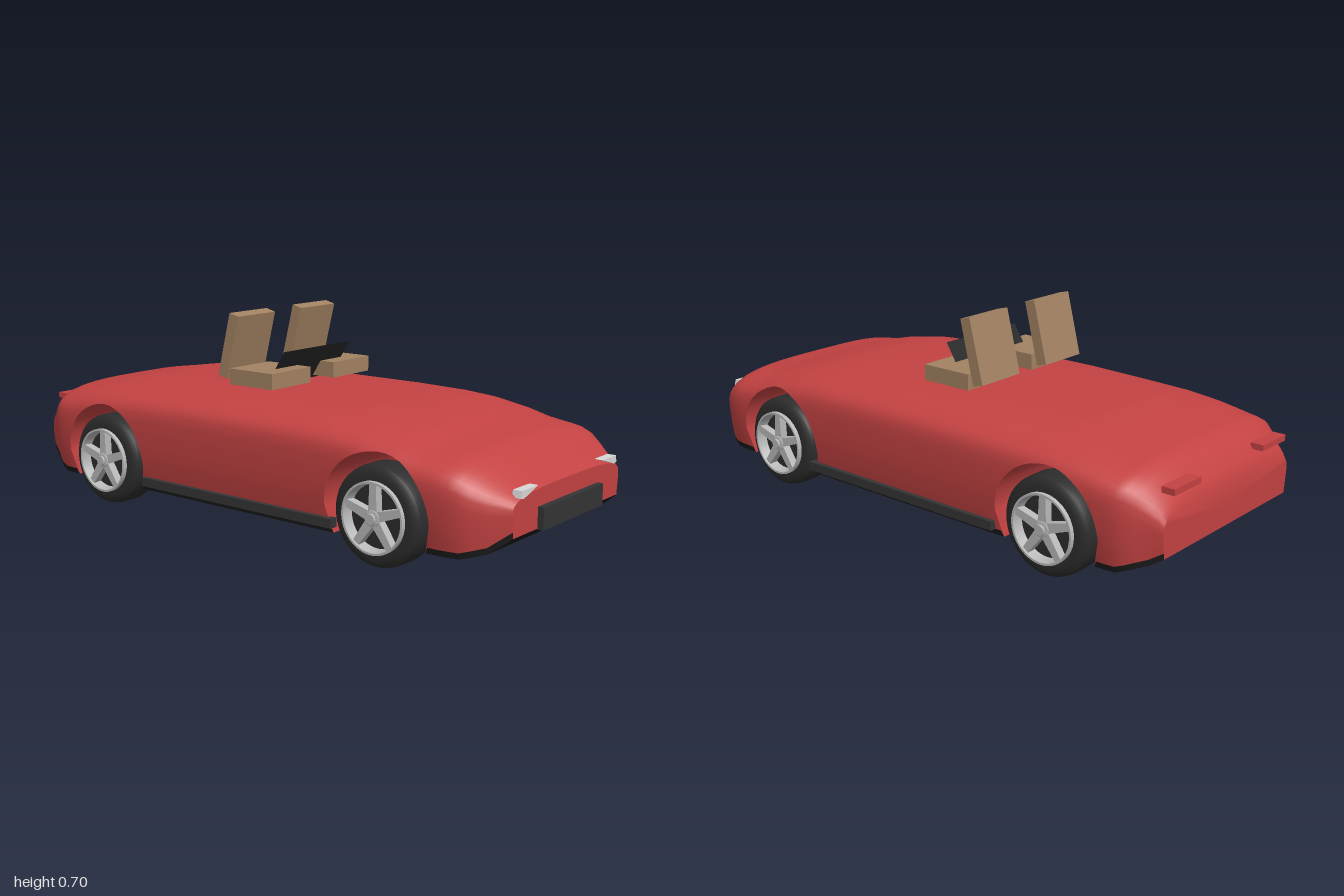
import * as THREE from 'three';
import { toCreasedNormals } from 'three/addons/utils/BufferGeometryUtils.js';

const mat = (name, color) => {
  const m = new THREE.MeshStandardMaterial({ color });
  m.name = name;
  return m;
};

// Piecewise-linear lookup in [[x, value], ...]
function lookup(table, x) {
  if (x <= table[0][0]) return table[0][1];
  for (let i = 1; i < table.length; i++) {
    const [x0, v0] = table[i - 1], [x1, v1] = table[i];
    if (x <= x1) return v0 + (v1 - v0) * (x - x0) / (x1 - x0);
  }
  return table[table.length - 1][1];
}

// Body outlines along x: top edge, bottom edge and half width
const TOP = [[-0.99, 0.285], [-0.975, 0.315], [-0.95, 0.345], [-0.92, 0.378], [-0.89, 0.396], [-0.83, 0.404],
  [-0.72, 0.422], [-0.6, 0.434], [-0.4, 0.44], [-0.2, 0.445], [0.2, 0.445], [0.38, 0.441], [0.5, 0.432],
  [0.62, 0.412], [0.7, 0.392], [0.76, 0.383], [0.82, 0.375], [0.85, 0.364], [0.88, 0.345], [0.95, 0.295], [0.98, 0.272]];
const BOTTOM = [[-0.99, 0.14], [-0.95, 0.115], [-0.86, 0.08], [0.85, 0.08], [0.92, 0.1], [0.98, 0.148]];
const WIDTH = [[-0.99, 0.36], [-0.95, 0.38], [-0.89, 0.42], [-0.86, 0.43], [-0.8, 0.435], [-0.4, 0.44],
  [0.5, 0.44], [0.8, 0.435], [0.85, 0.425], [0.88, 0.41], [0.92, 0.38], [0.95, 0.355], [0.98, 0.33]];
const ARCH_R = 0.192, ARCH_Y = 0.17, AXLES = [-0.62, 0.57];
const POWER = 3.2;

function shoulder(x) {
  const top = lookup(TOP, x);
  return top - Math.min(0.12, (top - lookup(BOTTOM, x)) * 0.45);
}

function halfWidth(x, y) {
  const ys = shoulder(x), top = lookup(TOP, x);
  let w = lookup(WIDTH, x);
  if (y < 0.28) w *= 1 - 0.06 * ((0.28 - y) / 0.2) ** 2;
  const u = Math.min(1, Math.max(0, (y - ys) / (top - ys)));
  return w * (1 - u ** POWER) ** (1 / POWER);
}

// Cross-section loop, with its lower part cut away by the wheel arch
function section({ x, arch = 0, edge = 0 }) {
  const yb = lookup(BOTTOM, x), ys = shoulder(x), top = lookup(TOP, x);
  const ySide = [yb, yb + 0.02];
  for (let i = 1; i <= 5; i++) ySide.push(yb + 0.02 + (ys - yb - 0.02) * i / 5);
  for (let i = 1; i <= 11; i++) ySide.push(ys + (top - ys) * Math.sin(i / 12 * Math.PI / 2) ** (2 / POWER));
  const half = ySide.map((y0) => {
    const y = Math.max(y0, arch);
    const dy = Math.min(0, y - ARCH_Y);
    const dx = edge * (ARCH_R - Math.sqrt(ARCH_R ** 2 - dy ** 2));
    return [x + dx, y, halfWidth(x, y)];
  });
  half.unshift([half[0][0], half[0][1], 0]);
  half.push([x, top, 0]);
  const mirror = half.slice(1, -1).reverse().map(([a, b, c]) => [a, b, -c]);
  return [...half, ...mirror];
}

function bodyStations() {
  const list = [-0.99, -0.975, -0.95, -0.92, -0.89, -0.86, -0.83].map((x) => ({ x }));
  const addArch = (cx) => {
    list.push({ x: cx - ARCH_R, edge: 1 });
    for (let i = 0; i <= 24; i++) {
      const a = Math.PI * (1 - i / 24);
      list.push({ x: cx + ARCH_R * Math.cos(a), arch: ARCH_Y + ARCH_R * Math.sin(a) });
    }
    list.push({ x: cx + ARCH_R, edge: -1 });
  };
  addArch(AXLES[0]);
  for (const x of [-0.39, -0.3, -0.2, 0, 0.2, 0.3, 0.35]) list.push({ x });
  addArch(AXLES[1]);
  for (const x of [0.79, 0.82, 0.85, 0.88, 0.92, 0.95, 0.98]) list.push({ x });
  return list;
}

// Lofted shell, split into painted skin and dark underside
function buildShell() {
  const stations = bodyStations(), rings = stations.map(section), L = rings[0].length;
  const positions = rings.flat(2), skin = [], under = [];
  for (let s = 0; s < rings.length - 1; s++) {
    const cut = stations[s].arch || stations[s + 1].arch;
    for (let k = 0; k < L; k++) {
      const n = (k + 1) % L, a = s * L, b = a + L;
      const low = Math.min(k, L - 1 - k) < 2;
      (low && !cut ? under : skin).push(a + k, b + k, b + n, a + k, b + n, a + n);
    }
  }
  // End caps
  for (const s of [0, rings.length - 1]) {
    const c = positions.length / 3;
    positions.push(stations[s].x, 0.21, 0);
    for (let k = 0; k < L; k++) {
      const p = s * L + k, q = s * L + (k + 1) % L;
      skin.push(...(s === 0 ? [c, p, q] : [c, q, p]));
    }
  }
  return [skin, under].map((index) => {
    const g = new THREE.BufferGeometry();
    g.setAttribute('position', new THREE.Float32BufferAttribute(positions, 3));
    g.setIndex(index);
    return toCreasedNormals(g, 0.6);
  });
}

// Lathe whose axis lies along z
function lathe(points, segments) {
  const g = new THREE.LatheGeometry(points.map(([r, h]) => new THREE.Vector2(r, h)), segments);
  return toCreasedNormals(g.rotateX(Math.PI / 2), 0.6);
}

export function createModel() {
  const red = mat('body red', 0xc44242), black = mat('underside black', 0x1b1b1b);
  const rubber = mat('tyre rubber', 0x2c2c2c), silver = mat('rim silver', 0xb8b8b8);
  const tan = mat('seat tan', 0xa28262), grey = mat('grille grey', 0x343434);
  const lens = mat('headlight white', 0xd8d8d8), shade = mat('windscreen dark', 0x262626);
  shade.side = THREE.DoubleSide;

  const model = new THREE.Group();
  const add = (parent, name, geometry, material, x = 0, y = 0, z = 0) => {
    const m = new THREE.Mesh(geometry, material);
    m.name = name;
    m.position.set(x, y, z);
    parent.add(m);
    return m;
  };
  const box = (w, h, d) => new THREE.BoxGeometry(w, h, d);

  const [skin, under] = buildShell();
  add(model, 'body', skin, red);
  add(model, 'underside', under, black);
  add(model, 'grille', box(0.03, 0.07, 0.37), grey, 0.985, 0.18, 0);

  // Wheels: tyre, rim ring, five spokes and hub
  const tyre = lathe([[0, -0.06], [0.125, -0.06], [0.145, -0.057], [0.156, -0.047], [0.16, -0.03], [0.16, 0.03],
    [0.156, 0.047], [0.145, 0.057], [0.13, 0.061], [0.112, 0.061], [0.108, 0.04], [0, 0.04]], 48);
  const ring = lathe([[0.1, 0.04], [0.113, 0.04], [0.113, 0.076], [0.106, 0.076], [0.1, 0.04]], 48);
  const hub = lathe([[0.026, 0.04], [0.026, 0.074], [0.016, 0.076], [0.016, 0.084], [0, 0.084]], 20);
  const spokeShape = new THREE.Shape([[-0.016, 0.015], [0.016, 0.015], [0.012, 0.104], [-0.012, 0.104]]
    .map(([a, b]) => new THREE.Vector2(a, b)));
  const spoke = new THREE.ExtrudeGeometry(spokeShape, { depth: 0.028, bevelEnabled: false }).translate(0, 0, 0.042);
  for (const x of AXLES) for (const side of [1, -1]) {
    const wheel = new THREE.Group();
    wheel.name = (x > 0 ? 'front' : 'rear') + (side > 0 ? 'NearWheel' : 'FarWheel');
    wheel.position.set(x, 0.162, side * 0.373);
    if (side < 0) wheel.rotation.y = Math.PI;
    add(wheel, 'tyre', tyre, rubber);
    add(wheel, 'rimRing', ring, silver);
    add(wheel, 'hub', hub, silver);
    for (let i = 0; i < 5; i++) add(wheel, 'spoke', spoke, silver).rotation.z = i * Math.PI * 0.4;
    model.add(wheel);
  }

  // Parts mirrored across the centre line
  const lampShape = new THREE.Shape([[0.2, 0.284], [0.28, 0.259], [0.297, 0.262], [0.292, 0.284]]
    .map(([a, b]) => new THREE.Vector2(-a, b)));
  for (const side of [1, -1]) {
    add(model, 'sill', box(0.83, 0.03, 0.03), grey, -0.005, 0.115, side * 0.427);
    add(model, 'tailLight', box(0.045, 0.02, 0.14), red, -0.975, 0.337, side * 0.25);
    add(model, 'seatCushion', box(0.19, 0.054, 0.2), tan, -0.075, 0.488, side * 0.163);
    add(model, 'seatBack', box(0.04, 0.222, 0.188), tan, -0.18, 0.59, side * 0.164).rotation.z = -0.25;
    const lamp = new THREE.ExtrudeGeometry(lampShape, { depth: 0.03, bevelEnabled: false });
    if (side < 0) lamp.translate(0.497, 0, 0).rotateY(Math.PI).translate(0.497, 0, 0.03).translate(-0.497 + 0.497 - 0.497 + 0.297, 0, 0);
    lamp.rotateY(Math.PI / 2);
    lamp.computeBoundingBox();
    lamp.translate(0, 0, side * 0.2485 - (lamp.boundingBox.min.z + lamp.boundingBox.max.z) / 2);
    add(model, 'headlight', lamp, lens, 0.957, 0, 0);
  }

  // Leaning windscreen panel
  const screen = add(model, 'windscreen', new THREE.PlaneGeometry(0.355, 0.148), shade, -0.04, 0.514, 0);
  screen.rotation.set(0, Math.PI / 2, 0);
  screen.geometry.rotateX(Math.atan2(0.08, 0.124));
  return model;
}
